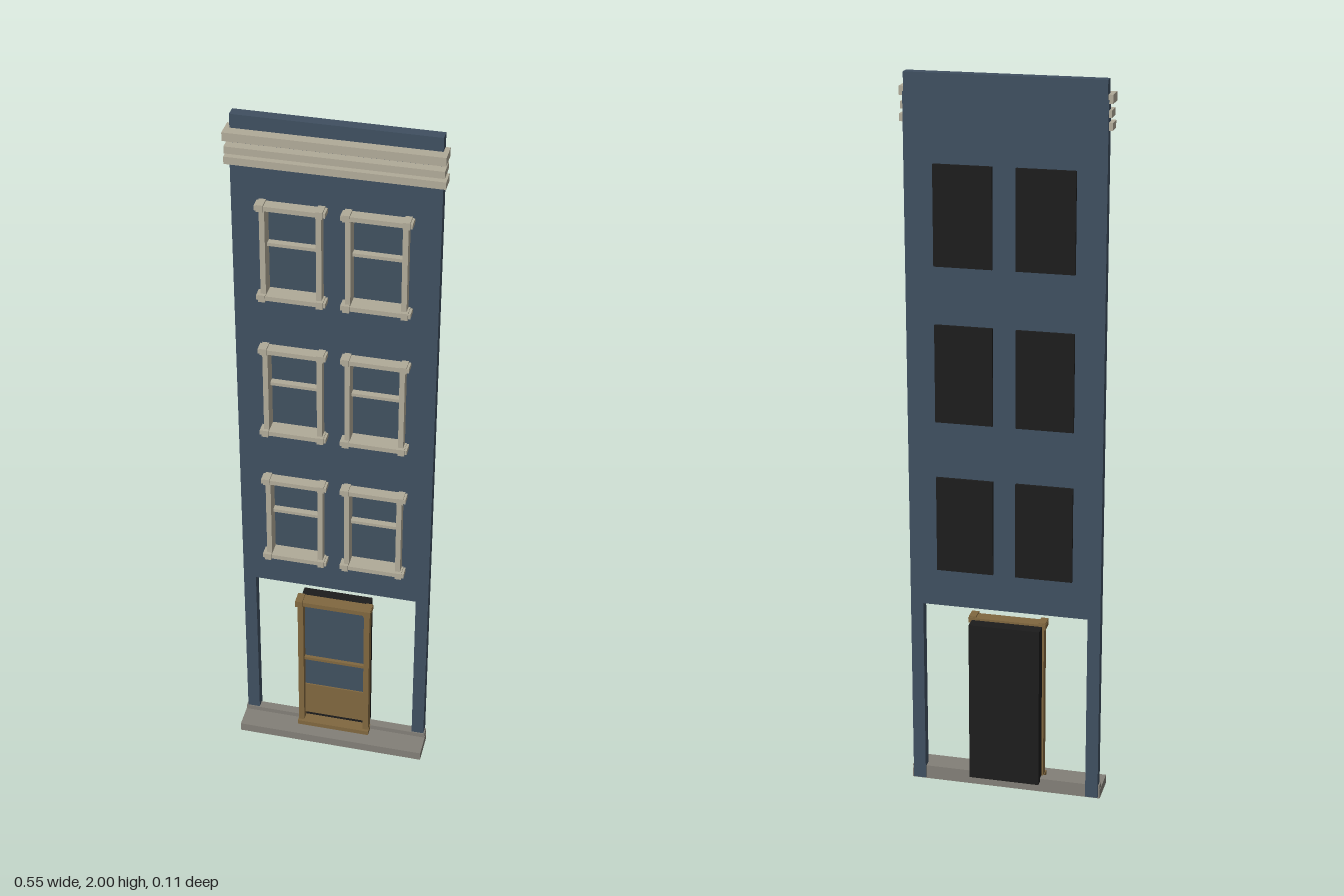
import * as THREE from 'three';

const mat = (name, color, side = THREE.FrontSide) => {
  const m = new THREE.MeshStandardMaterial({ color, side });
  m.name = name;
  return m;
};

export function createModel() {
  const wallBlue = mat('wall blue', 0x3f4f60);
  const glassBlue = mat('glass blue', 0x40505f);
  const trim = mat('cream trim', 0xb0aa98);
  const wood = mat('door wood', 0x80673f);
  const stone = mat('step stone', 0x827f77);
  const black = mat('backing black', 0x1c1c1c);

  const model = new THREE.Group();
  model.name = 'townhouseFacade';

  // Box given by its limits on each axis
  const box = (parent, name, material, x0, x1, y0, y1, z0, z1) => {
    const mesh = new THREE.Mesh(new THREE.BoxGeometry(x1 - x0, y1 - y0, z1 - z0), material);
    mesh.position.set((x0 + x1) / 2, (y0 + y1) / 2, (z0 + z1) / 2);
    mesh.name = name;
    parent.add(mesh);
    return mesh;
  };

  const rows = [0.65, 1.075, 1.5];
  const columns = [-0.109, 0.109];

  // Wall with a wide ground-floor opening and six window holes
  const outline = new THREE.Shape([
    [-0.265, 0.005], [-0.23, 0.005], [-0.23, 0.545], [0.23, 0.545], [0.23, 0.005],
    [0.265, 0.005], [0.265, 1.95], [0.2625, 1.95], [0.2625, 2], [-0.2625, 2],
    [-0.2625, 1.95], [-0.265, 1.95],
  ].map(([x, y]) => new THREE.Vector2(x, y)));
  for (const y of rows) for (const x of columns) {
    outline.holes.push(new THREE.Path([
      [x - 0.068, y + 0.012], [x - 0.068, y + 0.258], [x + 0.068, y + 0.258], [x + 0.068, y + 0.012],
    ].map(([a, b]) => new THREE.Vector2(a, b))));
  }
  const wall = new THREE.Mesh(
    new THREE.ExtrudeGeometry(outline, { depth: 0.029, bevelEnabled: false }), wallBlue);
  wall.position.z = -0.044;
  wall.name = 'wall';
  model.add(wall);

  // Framed sash window
  const addWindow = (x, y) => {
    const w = new THREE.Group();
    w.name = 'window';
    w.position.set(x, y, 0);
    model.add(w);
    box(w, 'windowBacking', black, -0.078, 0.078, 0.002, 0.27, -0.052, -0.0435);
    box(w, 'glass', glassBlue, -0.07, 0.07, 0.01, 0.26, -0.034, -0.03);
    for (const s of [-1, 1]) {
      const c = s * 0.072;
      box(w, 'jamb', trim, c - 0.007, c + 0.007, 0.008, 0.262, -0.03, 0.01);
      const e = s * 0.075;
      box(w, 'lintelBlock', trim, e - 0.009, e + 0.009, 0.258, 0.277, -0.015, 0.019);
      box(w, 'sillBlock', trim, e - 0.009, e + 0.009, -0.004, 0.016, -0.015, 0.019);
    }
    box(w, 'lintel', trim, -0.09, 0.09, 0.26, 0.273, -0.03, 0.016);
    box(w, 'sill', trim, -0.09, 0.09, 0, 0.013, -0.03, 0.016);
    box(w, 'meetingRail', trim, -0.066, 0.066, 0.145, 0.154, -0.03, -0.012);
  };
  for (const y of rows) for (const x of columns) addWindow(x, y);

  // Stacked cornice bands
  [[1.94, 1.963, 0.275, 0.013], [1.905, 1.924, 0.272, 0.010], [1.873, 1.893, 0.275, 0.005]]
    .forEach(([y0, y1, w, z]) => box(model, 'corniceBand', trim, -w, w, y0, y1, -0.04, z));

  // Front door
  const door = new THREE.Group();
  door.name = 'door';
  model.add(door);
  box(door, 'doorBacking', black, -0.099, 0.099, 0.03, 0.498, -0.056, -0.018);
  box(door, 'doorPanel', wood, -0.09, 0.09, 0.058, 0.17, -0.018, -0.008);
  box(door, 'doorGlass', glassBlue, -0.09, 0.09, 0.17, 0.49, -0.018, -0.012);
  box(door, 'doorRail', wood, -0.09, 0.09, 0.272, 0.281, -0.013, -0.002);
  for (const s of [-1, 1]) {
    box(door, 'doorJamb', wood, s * 0.096 - 0.008, s * 0.096 + 0.008, 0.03, 0.492, -0.018, 0.008);
    box(door, 'doorHeaderBlock', wood, s * 0.098 - 0.01, s * 0.098 + 0.01, 0.488, 0.508, -0.018, 0.02);
  }
  box(door, 'doorHeader', wood, -0.109, 0.109, 0.49, 0.504, -0.02, 0.016);
  box(door, 'threshold', wood, -0.106, 0.106, 0.025, 0.04, -0.018, 0.016);

  // Stone step with a raised back course
  box(model, 'frontStep', stone, -0.27, 0.27, 0, 0.026, -0.037, 0.054);
  box(model, 'backCourse', stone, -0.269, 0.269, 0.026, 0.04, -0.037, -0.012);

  return model;
}
